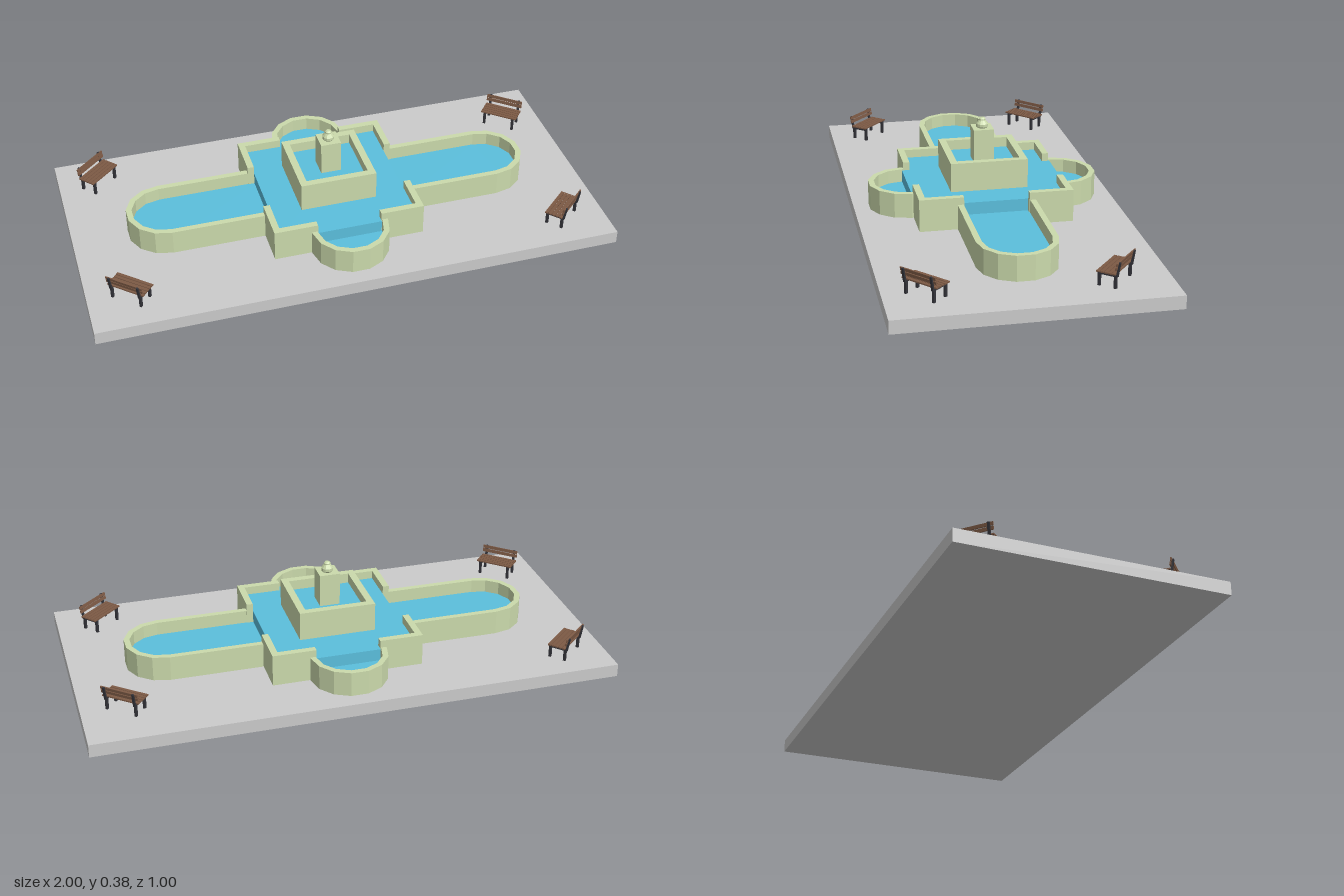
import * as THREE from 'three';

const mat = (color) => new THREE.MeshStandardMaterial({ color, flatShading: true });
const MATS = {
  paving: mat(0xcccccc), stone: mat(0xcbdaac), water: mat(0x5bbfdd),
  wood: mat(0x7d5a45), iron: mat(0x34343a),
};
const GROUND = 0.05;

function add(parent, name, geometry, material, x = 0, y = 0, z = 0) {
  const mesh = new THREE.Mesh(geometry, material);
  mesh.name = name;
  mesh.position.set(x, y, z);
  parent.add(mesh);
  return mesh;
}

// Box given by its bottom height and top height
function block(parent, name, material, w, d, y0, y1, x = 0, z = 0) {
  return add(parent, name, new THREE.BoxGeometry(w, y1 - y0, d), material, x, (y0 + y1) / 2, z);
}

// Plan outline in (x, z), raised from y0 to y1
function raise(shape, y0, y1) {
  const g = new THREE.ExtrudeGeometry(shape, { depth: y1 - y0, bevelEnabled: false });
  g.rotateX(-Math.PI / 2);
  g.translate(0, y0, 0);
  return g;
}

// Faceted half-circle end, running from -z to +z or back
function arc(cx, r, reverse = false) {
  const pts = [];
  for (let i = 0; i <= 7; i++) {
    const a = -Math.PI / 2 + (i / 7) * Math.PI;
    pts.push(new THREE.Vector2(cx + r * Math.cos(a), r * Math.sin(a)));
  }
  return reverse ? pts.reverse() : pts;
}

// Round-ended basin reaching out along +x, open towards the centre
function basin(name, start, cx, waterStart, angle) {
  const g = new THREE.Group();
  g.name = name;
  const v = (x, y) => new THREE.Vector2(x, y);
  const R = 0.147, r = 0.125;
  const wall = new THREE.Shape([v(start, -R), ...arc(cx, R), v(start, R), v(start, r), ...arc(cx, r, true), v(start, -r)]);
  add(g, 'basinWall', raise(wall, GROUND, 0.146), MATS.stone);
  const pool = new THREE.Shape([v(waterStart, -r), ...arc(cx, r), v(waterStart, r)]);
  add(g, 'basinWater', raise(pool, GROUND, 0.095), MATS.water);
  g.rotation.y = angle;
  return g;
}

// Square ring wall with an opening in its middle
function squareRing(outer, inner, y0, y1) {
  const square = (h) => [[-h, -h], [h, -h], [h, h], [-h, h]].map((p) => new THREE.Vector2(...p));
  const s = new THREE.Shape(square(outer));
  s.holes.push(new THREE.Path(square(inner).reverse()));
  return raise(s, y0, y1);
}

// Park bench: long side on x, facing +z, feet on y = 0
function bench() {
  const g = new THREE.Group();
  g.name = 'bench';
  for (const s of [-1, 1]) {
    const x = s * 0.06;
    block(g, 'frontLeg', MATS.iron, 0.009, 0.01, 0, 0.055, x, 0.034);
    block(g, 'rearLeg', MATS.iron, 0.009, 0.01, 0, 0.055, x, -0.026);
    block(g, 'seatBearer', MATS.iron, 0.01, 0.074, 0.043, 0.053, x, 0.002);
    const post = block(g, 'backPost', MATS.iron, 0.009, 0.007, 0.046, 0.097, x, -0.036);
    post.rotation.x = -0.16;
  }
  for (let i = 0; i < 5; i++) {
    block(g, 'seatSlat', MATS.wood, 0.15, 0.012, 0.053, 0.058, 0, 0.034 - i * 0.0145);
  }
  for (let i = 0; i < 2; i++) {
    const slat = block(g, 'backSlat', MATS.wood, 0.15, 0.005, 0.07 + i * 0.015, 0.082 + i * 0.015, 0, -0.032 - i * 0.003);
    slat.rotation.x = -0.16;
  }
  return g;
}

export function createModel() {
  const model = new THREE.Group();
  model.name = 'fountainPlaza';
  block(model, 'plaza', MATS.paving, 2, 1, 0, GROUND);

  // Four round-ended basins around the centre: two long, two short
  for (const s of [0, 1]) {
    model.add(basin('longBasin', 0.275, 0.643, 0.26, s * Math.PI));
    model.add(basin('shortBasin', 0.28, 0.296, 0.28, Math.PI / 2 + s * Math.PI));
  }

  // Central pool: four L-shaped corner walls around higher water
  const H = 0.29, I = 0.265, G = 0.123;
  const corner = new THREE.Shape([[G, I], [I, I], [I, G], [H, G], [H, H], [G, H]].map((p) => new THREE.Vector2(...p)));
  for (let i = 0; i < 4; i++) {
    add(model, 'poolCornerWall', raise(corner, GROUND, 0.174), MATS.stone).rotation.y = (i * Math.PI) / 2;
  }
  block(model, 'poolWater', MATS.water, 2 * I, 2 * I, GROUND, 0.142);
  for (const s of [-1, 1]) {
    block(model, 'poolSpill', MATS.water, 2 * G, 0.03, GROUND, 0.142, 0, s * 0.28);
  }

  // Raised square tier with its own water
  add(model, 'upperTierWall', squareRing(0.147, 0.12, GROUND, 0.254), MATS.stone);
  block(model, 'upperTierWater', MATS.water, 0.24, 0.24, 0.15, 0.215);

  // Pillar and turned finial
  block(model, 'pillar', MATS.stone, 0.078, 0.078, 0.15, 0.343);
  const profile = [[0, 0.343], [0.02, 0.343], [0.023, 0.347], [0.023, 0.358], [0.013, 0.372],
    [0.013, 0.377], [0.008, 0.382], [0, 0.383]].map((p) => new THREE.Vector2(...p));
  add(model, 'finial', new THREE.LatheGeometry(profile, 12), MATS.stone);

  // Corner benches turned to the fountain
  for (const [x, z, deg] of [[-0.845, -0.355, 42], [0.838, -0.3, -40], [-0.842, 0.345, 138], [0.832, 0.355, -138]]) {
    const b = bench();
    b.position.set(x, GROUND, z);
    b.rotation.y = THREE.MathUtils.degToRad(deg);
    model.add(b);
  }
  return model;
}
